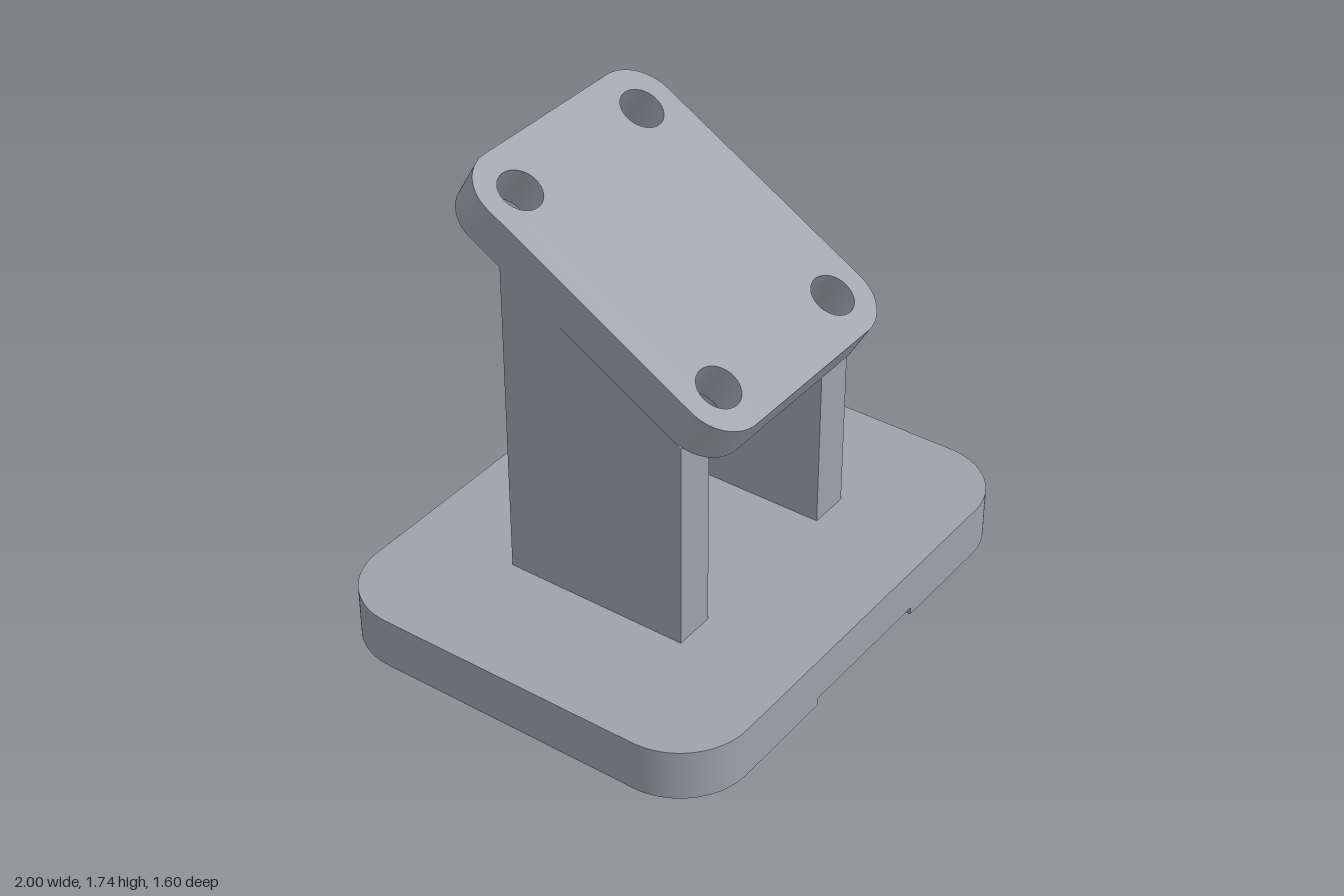
import * as THREE from 'three';
import { toCreasedNormals } from 'three/addons/utils/BufferGeometryUtils.js';

const TILT = Math.PI / 6;

// Rectangle from x0 to x1, depth d, with rounded corners on the right and optionally the left
function roundedShape(x0, x1, d, r, roundLeft) {
  const s = new THREE.Shape();
  const h = d / 2, l = roundLeft ? r : 0;
  s.moveTo(x0 + l, -h);
  s.lineTo(x1 - r, -h);
  s.absarc(x1 - r, -h + r, r, -Math.PI / 2, 0, false);
  s.lineTo(x1, h - r);
  s.absarc(x1 - r, h - r, r, 0, Math.PI / 2, false);
  s.lineTo(x0 + l, h);
  if (roundLeft) {
    s.absarc(x0 + r, h - r, r, Math.PI / 2, Math.PI, false);
    s.lineTo(x0, -h + r);
    s.absarc(x0 + r, -h + r, r, Math.PI, Math.PI * 1.5, false);
  } else {
    s.lineTo(x0, -h);
  }
  return s;
}

// Extrude a plan shape upwards from y0 to y1
function slab(shape, y0, y1) {
  const g = new THREE.ExtrudeGeometry(shape, { depth: y1 - y0, bevelEnabled: false, curveSegments: 16 });
  g.rotateX(-Math.PI / 2);
  g.translate(0, y0, 0);
  return toCreasedNormals(g, 0.5);
}

export function createModel() {
  const model = new THREE.Group();
  const metal = new THREE.MeshStandardMaterial({ color: 0x9ea2a9 });
  metal.name = 'greyMetal';
  const red = new THREE.MeshStandardMaterial({ color: 0xbb7272 });
  red.name = 'mutedRed';

  const add = (name, geometry, material = metal) => {
    const mesh = new THREE.Mesh(geometry, material);
    mesh.name = name;
    model.add(mesh);
    return mesh;
  };

  // Base with a shallow channel running front to back underneath
  add('basePlate', slab(roundedShape(-1, 1, 1.6, 0.27, true), 0.03, 0.2));
  for (const side of [1, -1]) {
    const runner = add(side > 0 ? 'leftRunner' : 'rightRunner',
      slab(roundedShape(0.3, 1, 1.6, 0.27, false), 0, 0.03));
    if (side < 0) runner.rotation.y = Math.PI;
  }

  // U-shaped pedestal, open at the front, its top sloped to meet the tilted plate
  const plan = new THREE.Shape([
    [-0.5, -0.367], [-0.34, -0.367], [-0.34, 0.21], [0.34, 0.21],
    [0.34, -0.367], [0.5, -0.367], [0.5, 0.367], [-0.5, 0.367],
  ].map(([x, y]) => new THREE.Vector2(x, y)));
  const pedestal = slab(plan, 0.2, 1);
  const p = pedestal.attributes.position;
  for (let i = 0; i < p.count; i++) {
    if (p.getY(i) > 0.5) p.setY(i, 1.234 - p.getZ(i) * Math.tan(TILT));
  }
  pedestal.computeVertexNormals();
  add('pedestal', pedestal);

  // Tilted mounting plate with four through holes
  const plate = roundedShape(-0.5, 0.5, 1.27, 0.165, true);
  for (const x of [-0.337, 0.337]) {
    for (const y of [-0.463, 0.463]) {
      plate.holes.push(new THREE.Path().absarc(x, y, 0.083, 0, Math.PI * 2, true));
    }
  }
  const top = add('mountingPlate', slab(plate, -0.16, 0));
  top.position.y = 1.419;
  top.rotation.x = TILT;

  // Side boss with a coloured end disc
  const boss = add('sideBoss', new THREE.CylinderGeometry(0.2, 0.2, 0.313, 48));
  boss.rotation.z = -Math.PI / 2;
  boss.position.set(0.6565, 0.8, 0);
  const disc = add('bossEndDisc', new THREE.CylinderGeometry(0.133, 0.133, 0.004, 48), red);
  disc.rotation.z = -Math.PI / 2;
  disc.position.set(0.813, 0.8, 0);

  return model;
}
